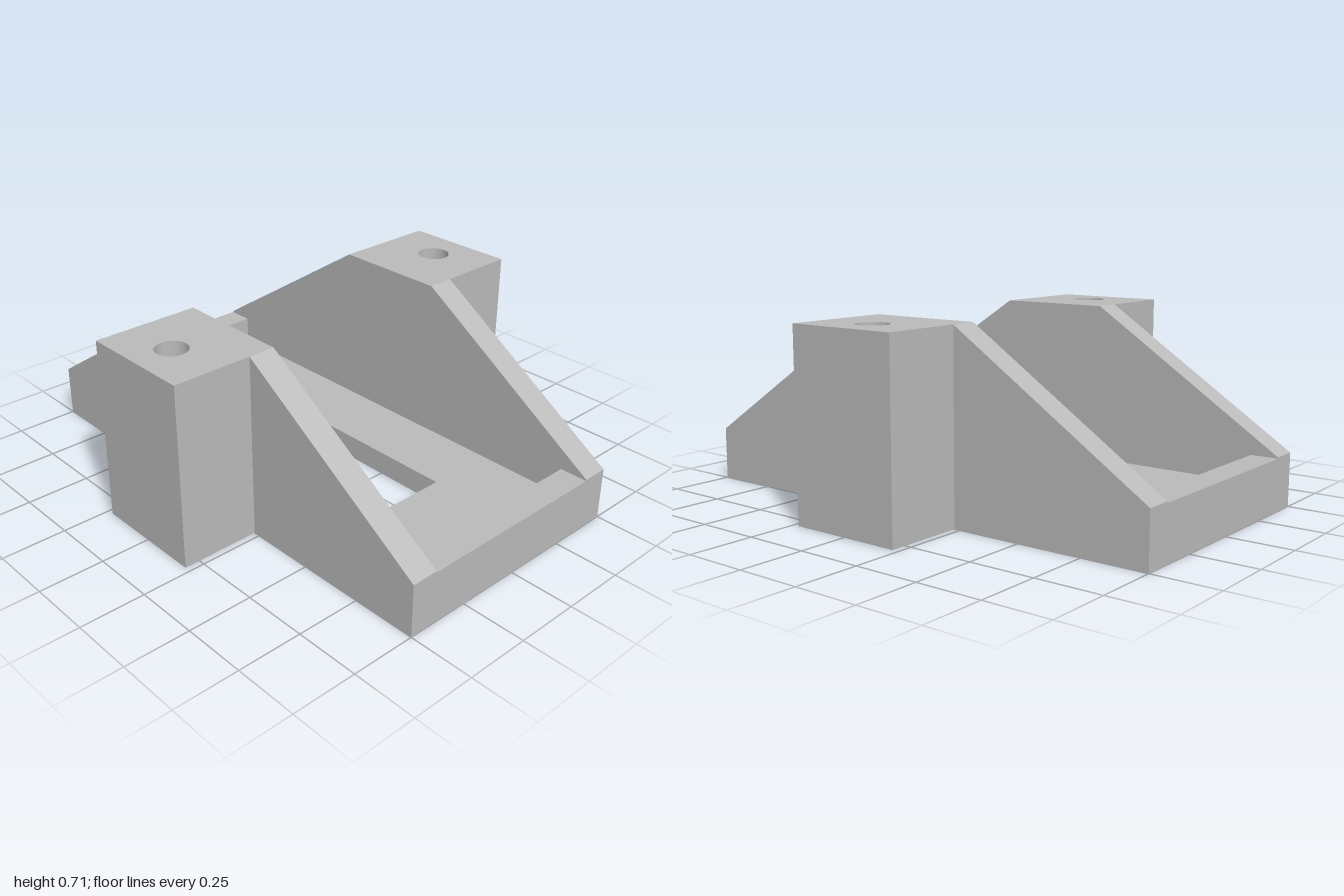
import * as THREE from 'three';

const HEIGHT = 0.71, LIP = 0.2, FLOOR = 0.093;
const INNER = 0.395, OUTER = 0.5, BLOCK_X = 0.81, BLOCK_Z = 0.225;
const HOLE_X = 0.655, HOLE_R = 0.061, HOLE_DEPTH = 0.4;

// Closed shape from [x, y] pairs
const polygon = (pts) => new THREE.Shape(pts.map(([x, y]) => new THREE.Vector2(x, y)));
const rect = (x0, y0, x1, y1) => polygon([[x0, y0], [x1, y0], [x1, y1], [x0, y1]]);

// Extrude a plan shape upwards from the ground (shape y becomes -z)
function extrudeUp(shape, height) {
  const geo = new THREE.ExtrudeGeometry(shape, { depth: height, bevelEnabled: false, curveSegments: 24 });
  return geo.rotateX(-Math.PI / 2);
}

export function createModel() {
  const model = new THREE.Group();
  model.name = 'slottedBracket';
  const grey = new THREE.MeshStandardMaterial({ color: 0xbababa });
  grey.name = 'grey';

  const add = (name, geometry, parent = model) => {
    const mesh = new THREE.Mesh(geometry, grey);
    mesh.name = name;
    parent.add(mesh);
    return mesh;
  };

  // Recessed floor with a long slot through it
  const plan = rect(-INNER, -0.89, INNER, 0.895);
  plan.holes.push(rect(-0.125, -0.535, 0.125, 0.54));
  add('slottedFloor', extrudeUp(plan, FLOOR));

  // Raised lips across the front and back ends
  for (const [name, z0, z1] of [['frontLip', 0.89, 1], ['backLip', -1, -0.895]]) {
    const lip = new THREE.BoxGeometry(INNER * 2, LIP, z1 - z0);
    add(name, lip.translate(0, LIP / 2, (z0 + z1) / 2));
  }

  // Side walls sloping to both ends, each with a drilled mounting block
  const profile = polygon([
    [-1, 0], [1, 0], [1, LIP + 0.005], [BLOCK_Z, HEIGHT], [-BLOCK_Z, HEIGHT], [-1, LIP + 0.005],
  ]);
  for (const [label, s] of [['left', 1], ['right', -1]]) {
    const side = new THREE.Group();
    side.name = label + 'Side';
    model.add(side);

    const wall = new THREE.ExtrudeGeometry(profile, { depth: OUTER - INNER, bevelEnabled: false });
    wall.rotateY(-Math.PI / 2).translate(s > 0 ? OUTER : -INNER, 0, 0);
    add(label + 'Wall', wall, side);

    const block = rect(Math.min(s * OUTER, s * BLOCK_X), -BLOCK_Z, Math.max(s * OUTER, s * BLOCK_X), BLOCK_Z);
    block.holes.push(new THREE.Path().absarc(s * HOLE_X, 0, HOLE_R, 0, Math.PI * 2, true));
    add(label + 'MountingBlock', extrudeUp(block, HEIGHT), side);

    // Solid bottom of the blind hole
    const plugHeight = HEIGHT - HOLE_DEPTH;
    const plug = new THREE.CylinderGeometry(HOLE_R, HOLE_R, plugHeight, 48);
    add(label + 'HoleBottom', plug.translate(s * HOLE_X, plugHeight / 2, 0), side);
  }
  return model;
}
